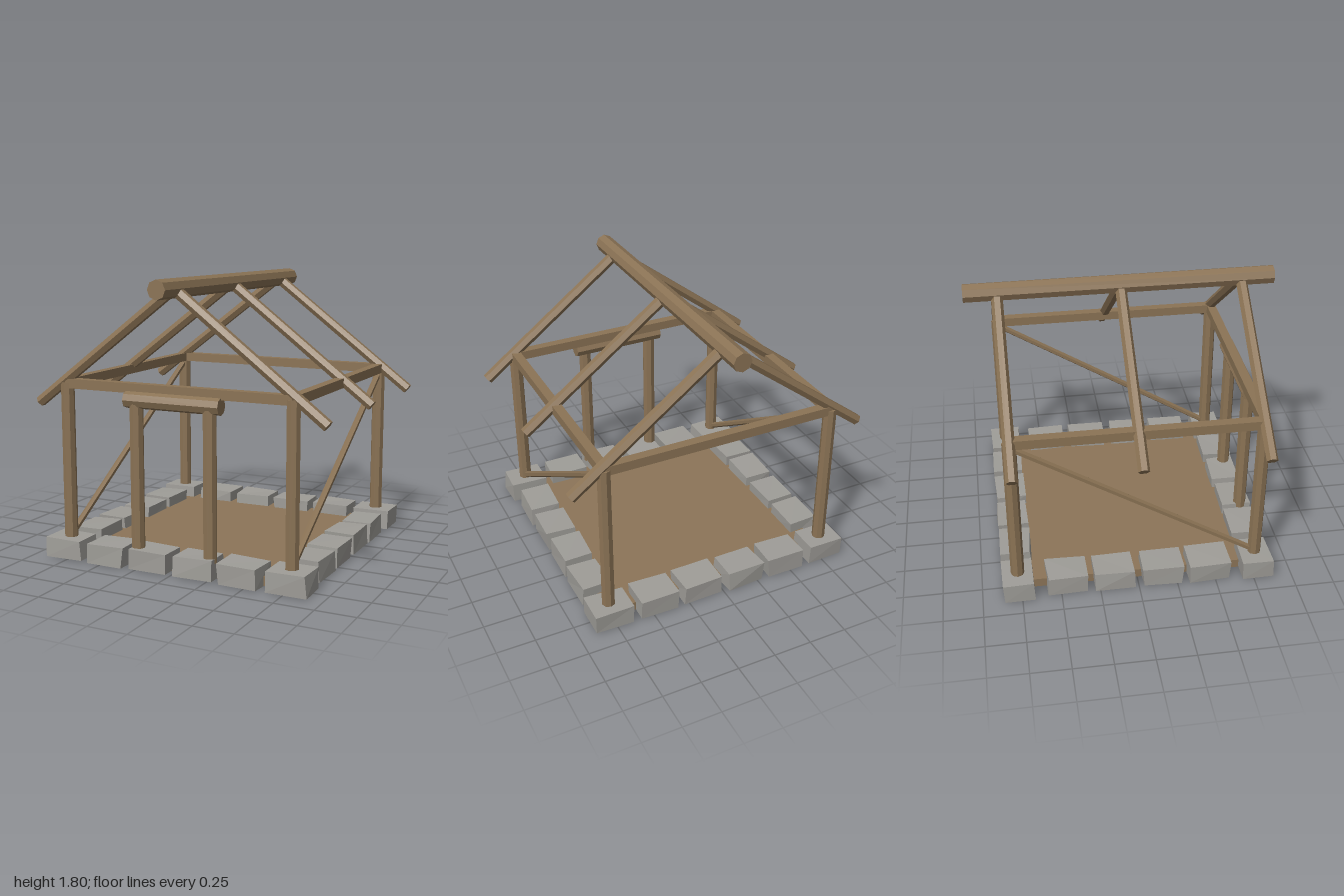
import * as THREE from 'three';

const wood = new THREE.MeshStandardMaterial({ color: 0x8b7355, flatShading: true });
wood.name = 'wood';
const earth = new THREE.MeshStandardMaterial({ color: 0x8c7558, flatShading: true });
earth.name = 'packed earth';
const stone = new THREE.MeshStandardMaterial({ color: 0x9f9d98, flatShading: true });
stone.name = 'stone';

// Small seeded generator, returning -1..1
let seed = 7;
const rand = () => {
  seed = (seed * 16807) % 2147483647;
  return (seed / 2147483647) * 2 - 1;
};

const UP = new THREE.Vector3(0, 1, 0);

export function createModel() {
  const group = new THREE.Group();
  group.name = 'timberFrameHut';

  const add = (name, geometry, material, x = 0, y = 0, z = 0) => {
    const mesh = new THREE.Mesh(geometry, material);
    mesh.name = name;
    mesh.position.set(x, y, z);
    group.add(mesh);
    return mesh;
  };

  // Faceted log running between two points
  const log = (name, from, to, radius, sides) => {
    const a = new THREE.Vector3(...from);
    const b = new THREE.Vector3(...to);
    const dir = b.clone().sub(a);
    const mesh = add(name, new THREE.CylinderGeometry(radius, radius, dir.length(), sides), wood);
    mesh.position.copy(a).add(b).multiplyScalar(0.5);
    mesh.quaternion.setFromUnitVectors(UP, dir.normalize());
  };

  // Foundation block with each corner nudged
  const block = (name, x, z, w, d) => {
    const geo = new THREE.BoxGeometry(w, 0.13, d);
    const pos = geo.attributes.position;
    const nudges = {};
    for (let i = 0; i < pos.count; i++) {
      const p = [pos.getX(i), pos.getY(i), pos.getZ(i)];
      const key = p.map(Math.sign).join();
      nudges[key] ??= [rand() * 0.008, rand() * 0.005, rand() * 0.008];
      pos.setXYZ(i, ...p.map((v, k) => v + nudges[key][k]));
    }
    geo.computeVertexNormals();
    add(name, geo, stone, x, 0.072, z).rotation.y = rand() * 0.025;
  };

  // Floor
  add('floor', new THREE.BoxGeometry(1.54, 0.06, 1.54), earth, 0, 0.035, 0);

  // Ring of foundation stones
  const steps = [-0.77, -0.46, -0.155, 0.155, 0.46, 0.77];
  for (const s of [-1, 1]) {
    for (const t of steps) {
      block(s > 0 ? 'frontStone' : 'backStone', t, s * 0.77, 0.255, 0.2);
      if (Math.abs(t) < 0.7) block(s > 0 ? 'leftStone' : 'rightStone', s * 0.77, t, 0.2, 0.255);
    }
  }

  // Corner posts, wall plates, tie beams and diagonal braces
  for (const s of [-1, 1]) {
    for (const t of [-1, 1]) {
      log('cornerPost', [s * 0.77, 0.11, t * 0.77], [s * 0.77, 1.135, t * 0.77], 0.043, 8);
    }
    add('wallPlate', new THREE.BoxGeometry(0.06, 0.06, 1.54), wood, s * 0.77, 1.132, 0);
    add('tieBeam', new THREE.BoxGeometry(1.54, 0.06, 0.06), wood, 0, 1.132, s * 0.77);
    log('brace', [s * 0.77, 0.145, 0.77], [s * 0.77, 1.1, -0.77], 0.021, 6);
  }

  // Doorway
  for (const s of [-1, 1]) {
    log('doorPost', [s * 0.25, 0.11, 0.8], [s * 0.25, 1.04, 0.8], 0.043, 8);
  }
  log('lintel', [-0.323, 1.063, 0.795], [0.323, 1.063, 0.795], 0.053, 8);

  // Roof: ridge pole and three pairs of rafters
  log('ridgePole', [0, 1.742, -0.978], [0, 1.742, 0.978], 0.06, 8);
  for (const z of [-0.77, 0, 0.77]) {
    for (const s of [-1, 1]) {
      log('rafter', [0, 1.74, z], [s * 0.98, 0.998, z], 0.036, 6);
    }
  }

  return group;
}
